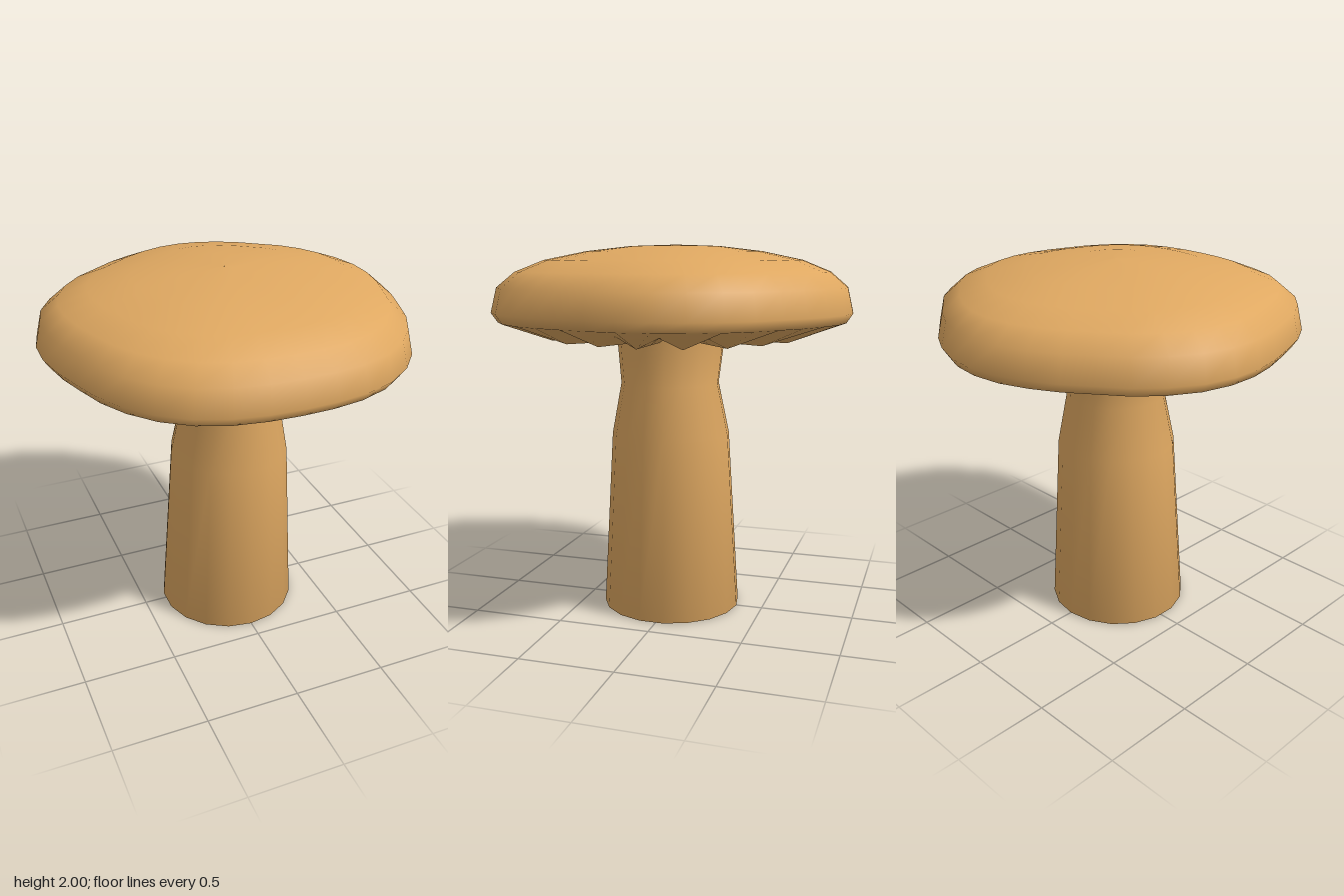
import * as THREE from 'three';

// Skin closed rings, ordered from bottom to top, with shared smooth vertices.
// point(i, j) gives the vertex j of ring i.
function loft(rings, sides, point) {
  const positions = [], index = [];
  for (let i = 0; i < rings; i++)
    for (let j = 0; j < sides; j++) positions.push(...point(i, j));
  for (let i = 0; i < rings - 1; i++)
    for (let j = 0; j < sides; j++) {
      const k = (j + 1) % sides;
      const a = i * sides + j, b = i * sides + k;
      const c = a + sides, d = b + sides;
      index.push(a, c, b, b, c, d);
    }
  const geometry = new THREE.BufferGeometry();
  geometry.setAttribute('position', new THREE.Float32BufferAttribute(positions, 3));
  geometry.setIndex(index);
  geometry.computeVertexNormals();
  return geometry;
}

// Rim radius every 10 degrees from the back round to the front; mirrored for the other half
const rim = [0.95, 0.945, 0.93, 0.92, 0.915, 0.94, 0.958, 0.97, 0.967, 0.955,
  0.94, 0.934, 0.952, 0.971, 0.985, 0.987, 0.975, 0.958, 0.95];

// Cap rings: relative radius, height, gill depth
const capProfile = [
  [0.2, 1.5, 0.055], [0.45, 1.5, 0.055], [0.68, 1.5, 0.055],
  [0.965, 1.6, 0], [1, 1.65, 0], [0.968, 1.78, 0], [0.87, 1.86, 0],
  [0.715, 1.92, 0], [0.49, 1.965, 0], [0.25, 1.992, 0], [0.001, 2, 0],
];

// Stem rings: centre x, centre z, radius, height
const stemProfile = [
  [0, 0.025, 0.001, 0.005], [0, 0.025, 0.38, 0.005], [0.015, 0.025, 0.322, 0.98],
  [0.022, 0.027, 0.267, 1.26], [0.003, 0.027, 0.293, 1.5], [0.003, 0.027, 0.3, 1.6],
];

export function createModel() {
  const group = new THREE.Group();
  group.name = 'mushroom';
  const tan = new THREE.MeshStandardMaterial({ color: 0xdfa861, side: THREE.DoubleSide });
  tan.name = 'warm tan';

  // Five-lobed cap with folded gills underneath
  const cap = new THREE.Mesh(loft(capProfile.length, 36, (i, j) => {
    const [scale, y, gill] = capProfile[i];
    const a = j * Math.PI / 18;
    const r = scale * rim[Math.min(j, 36 - j)];
    return [r * Math.sin(a), y + (j % 2 ? 0 : gill), -r * Math.cos(a)];
  }), tan);
  cap.name = 'cap';

  // Slightly crooked stem with a narrow neck
  const sides = 18;
  const stem = new THREE.Mesh(loft(stemProfile.length, sides, (i, j) => {
    const [x, z, r, y] = stemProfile[i];
    const a = j * 2 * Math.PI / sides;
    return [x + r * Math.sin(a), y, z - r * Math.cos(a)];
  }), tan);
  stem.name = 'stem';

  group.add(cap, stem);
  return group;
}
